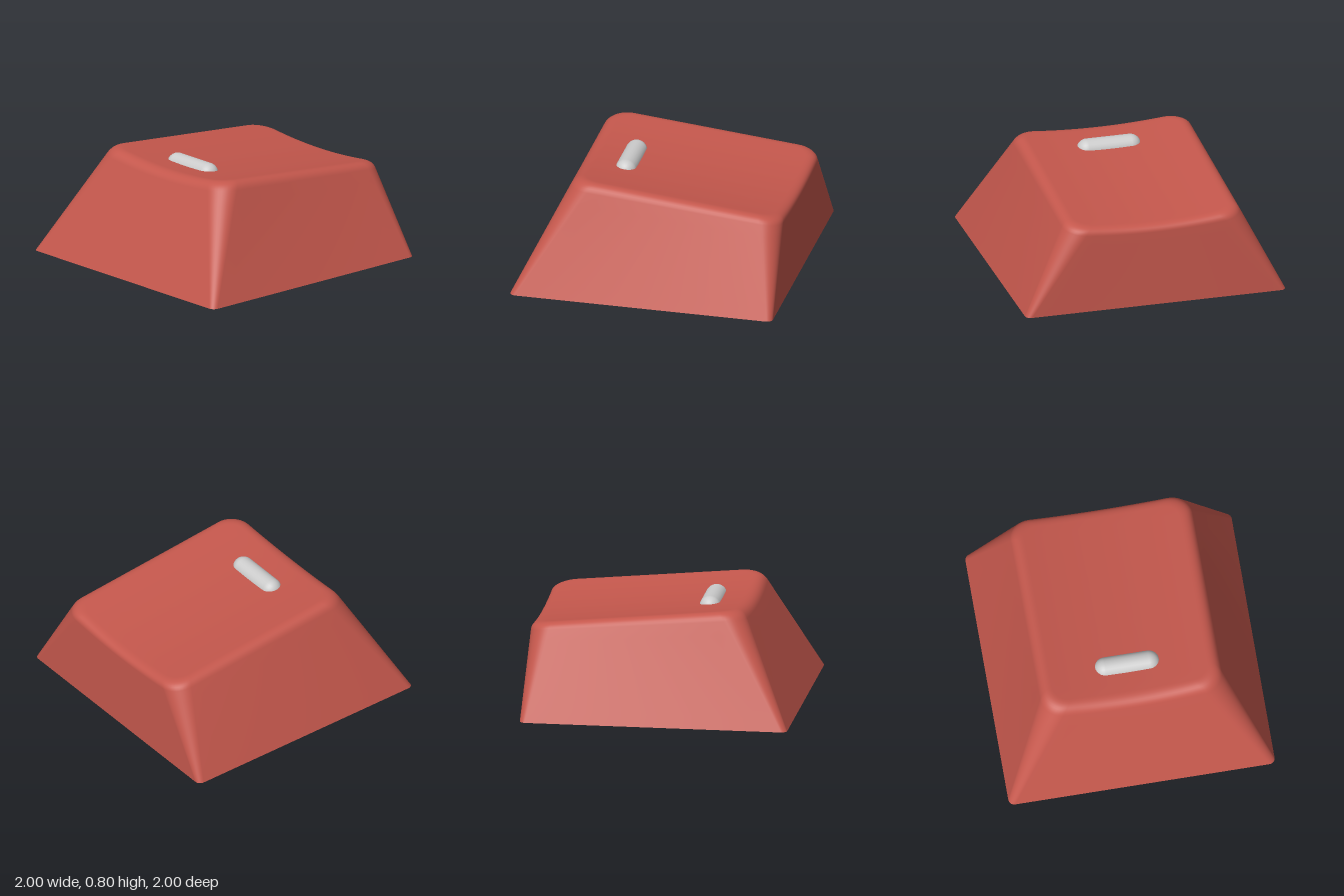
import * as THREE from 'three';

const red = new THREE.MeshStandardMaterial({ color: 0xc4574c });
const redFlat = new THREE.MeshStandardMaterial({ color: 0xc4574c, flatShading: true });
const grey = new THREE.MeshStandardMaterial({ color: 0xcccccc });

// Height of the sloped, dished top
const topY = (x, z) => 0.762 + 0.0975 * z - 0.045 * (1 - (x / 0.62) ** 2);
// Sloped ceiling of the hollow underside
const ceilingY = z => 0.61 + 0.0975 * z;

// Rounded rectangle in x/z with a fixed number of points
function outline(hx, zBack, zFront, r, arc = 10, side = 14) {
  const corners = [[hx - r, zFront - r], [-hx + r, zFront - r], [-hx + r, zBack + r], [hx - r, zBack + r]];
  const pts = [];
  corners.forEach(([cx, cz], c) => {
    for (let i = 0; i <= arc; i++) {
      const a = (c + i / arc) * Math.PI / 2;
      pts.push(new THREE.Vector2(cx + r * Math.cos(a), cz + r * Math.sin(a)));
    }
    const a = (c + 1) * Math.PI / 2, [nx, nz] = corners[(c + 1) % 4];
    const from = pts[pts.length - 1];
    const to = new THREE.Vector2(nx + r * Math.cos(a), nz + r * Math.sin(a));
    for (let i = 1; i < side; i++) pts.push(from.clone().lerp(to, i / side));
  });
  return pts;
}

// Joins closed rings of equal length, listed from the bottom up
function loft(rings) {
  const n = rings[0].length, pos = [], index = [];
  rings.forEach(ring => ring.forEach(p => pos.push(p.x, p.y, p.z)));
  for (let k = 0; k < rings.length - 1; k++) {
    for (let j = 0; j < n; j++) {
      const a = k * n + j, b = k * n + (j + 1) % n;
      index.push(a, a + n, b, b, a + n, b + n);
    }
  }
  const g = new THREE.BufferGeometry();
  g.setAttribute('position', new THREE.Float32BufferAttribute(pos, 3));
  g.setIndex(index);
  g.computeVertexNormals();
  return g;
}

function shellGeometry() {
  const bottom = outline(1, -1, 1, 0.045).map(p => new THREE.Vector3(p.x, 0, p.y));
  const edge = outline(0.655, -0.975, 0.6, 0.16).map(p => {
    const z = p.y + (p.y > 0.3 ? 0.02 * (1 - (p.x / 0.655) ** 2) : 0);
    return new THREE.Vector3(p.x, topY(p.x, z), z);
  });
  const inset = outline(0.585, -0.9, 0.535, 0.12).map(p => new THREE.Vector3(p.x, topY(p.x, p.y), p.y));
  const wallTop = bottom.map((p, i) => p.clone().lerp(edge[i], 0.92));
  const rings = [];
  // Straight walls
  for (let i = 0; i < 8; i++) rings.push(bottom.map((p, j) => p.clone().lerp(wallTop[j], i / 8)));
  // Rounded upper edge
  for (let i = 0; i <= 8; i++) {
    rings.push(wallTop.map((p, j) => new THREE.QuadraticBezierCurve3(p, edge[j], inset[j]).getPoint(i / 8)));
  }
  // Dished top, shrinking to its middle
  for (let i = 1; i <= 10; i++) {
    const s = 1 - i / 10, zMid = -0.18;
    rings.push(inset.map(p => {
      const x = p.x * s, z = zMid + (p.z - zMid) * s;
      return new THREE.Vector3(x, topY(x, z), z);
    }));
  }
  return loft(rings);
}

// Inner walls and ceiling, facing into the hollow
function hollowGeometry() {
  const h = 0.845;
  const ring = (xf, zf, xb, zb, y) => [[xf, zf], [-xf, zf], [-xb, zb], [xb, zb]]
    .map(([x, z]) => new THREE.Vector3(x, y(z), z));
  const low = ring(h, h, h, -h, () => 0);
  const high = ring(0.567, 0.523, 0.62, -0.825, ceilingY);
  const middle = high.map(() => new THREE.Vector3(0, ceilingY(-0.15), -0.15));
  const g = loft([low, high, middle]);
  const idx = g.index.array;
  for (let i = 0; i < idx.length; i += 3) [idx[i + 1], idx[i + 2]] = [idx[i + 2], idx[i + 1]];
  return g.toNonIndexed();
}

// Flat rim around the open underside
function rimGeometry() {
  const shape = new THREE.Shape(outline(1, -1, 1, 0.045));
  const h = 0.845;
  shape.holes.push(new THREE.Path([[-h, -h], [-h, h], [h, h], [h, -h]].map(p => new THREE.Vector2(...p))));
  return new THREE.ShapeGeometry(shape).rotateX(Math.PI / 2);
}

// Round post with a cross-shaped socket
function stemGeometry() {
  const shape = new THREE.Shape().absarc(0, 0, 0.285, 0, Math.PI * 2);
  const l = 0.228, w = 0.07;
  const cross = [[l, -w], [l, w], [w, w], [w, l], [-w, l], [-w, w], [-l, w], [-l, -w], [-w, -w], [-w, -l], [w, -l], [w, -w]];
  shape.holes.push(new THREE.Path(cross.reverse().map(p => new THREE.Vector2(...p))));
  const bevel = 0.025;
  const g = new THREE.ExtrudeGeometry(shape, {
    depth: 0.45, curveSegments: 32, bevelEnabled: true,
    bevelThickness: bevel, bevelSize: bevel, bevelOffset: 0, bevelSegments: 1,
  });
  return g.rotateX(-Math.PI / 2).translate(0, 0.13 + bevel, 0);
}

export function createModel() {
  const model = new THREE.Group();
  const add = (name, geometry, material, parent = model) => {
    const mesh = new THREE.Mesh(geometry, material);
    mesh.name = name;
    parent.add(mesh);
    return mesh;
  };

  add('outerShell', shellGeometry(), red);
  add('innerHollow', hollowGeometry(), redFlat);
  add('bottomRim', rimGeometry(), red);

  // Raised bar on the top
  add('touchBar', new THREE.CapsuleGeometry(0.08, 0.33, 10, 24).rotateZ(Math.PI / 2), grey).position.set(0, 0.723, 0.31);

  // Post under the cap
  const stem = new THREE.Group();
  stem.name = 'stem';
  model.add(stem);
  add('stemPost', stemGeometry(), grey, stem);
  add('socketEnd', new THREE.CylinderGeometry(0.3, 0.3, 0.06, 48), grey, stem).position.y = 0.58;

  // Ribs from the post to the walls
  const ribs = new THREE.Group();
  ribs.name = 'ribs';
  model.add(ribs);
  [[1, 0, 0.64], [-1, 0, 0.64], [0, 1, 0.62], [0, -1, 0.84]].forEach(([dx, dz, reach]) => {
    const len = reach - 0.28, mid = 0.28 + len / 2;
    const rib = new THREE.BoxGeometry(dx ? len : 0.09, 0.12, dz ? len : 0.09);
    const y = dz < 0 ? 0.56 : 0.595;
    add('rib', rib, red, ribs).position.set(dx * mid, y, dz * mid);
  });
  return model;
}
